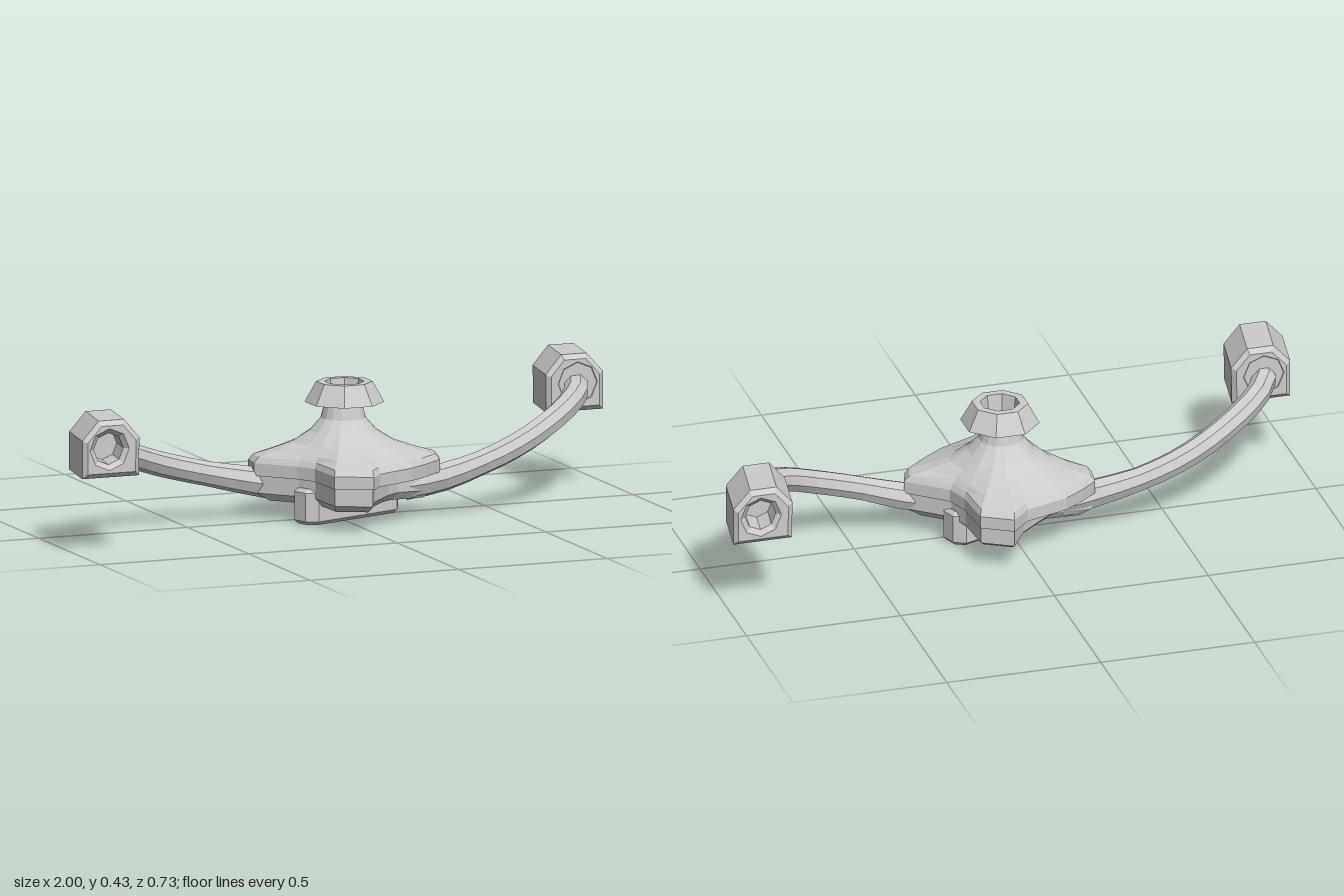
import * as THREE from 'three';

const CX = 0.02, CZ = 0.01; // spindle axis

// Hub outline seen from above, as x, z
const OUTLINE = [
  [0.07, -0.305], [0.165, -0.25], [0.175, -0.11], [0.2, -0.04], [0.32, 0.06], [0.3, 0.12],
  [0.23, 0.18], [0.16, 0.23], [0.03, 0.29], [-0.01, 0.335], [-0.12, 0.28], [-0.125, 0.13],
  [-0.16, 0.07], [-0.26, -0.04], [-0.25, -0.11], [-0.19, -0.16], [-0.13, -0.2], [0.01, -0.245],
];
// Lower outline: the two long sides are cut back under the top plate
const LOWER = OUTLINE.map(([x, z], i) => {
  const k = [6, 7, 15, 16].includes(i) ? 0.66 : [8, 17].includes(i) ? 0.85 : 0.97;
  return [CX + (x - CX) * k, CZ + (z - CZ) * k];
});

function createModel() {
  const model = new THREE.Group();
  const material = new THREE.MeshStandardMaterial({ color: 0xcccccc, flatShading: true });

  const add = (name, geometry, parent = model) => {
    const mesh = new THREE.Mesh(geometry, material);
    mesh.name = name;
    parent.add(mesh);
    return mesh;
  };

  // Loft of rings [y, scale, blend to circle, circle radius] over an outline
  const loft = (outline, rings) => {
    const n = outline.length, pos = [], index = [];
    for (const [y, s, t = 0, r = 0] of rings) {
      for (const [x, z] of outline) {
        const dx = x - CX, dz = z - CZ, len = Math.hypot(dx, dz);
        const k = s * (1 - t) + (r / len) * t;
        pos.push(CX + dx * k, y, CZ + dz * k);
      }
    }
    for (let i = 0; i < rings.length - 1; i++) {
      for (let j = 0; j < n; j++) {
        const a = i * n + j, b = i * n + (j + 1) % n;
        index.push(a, a + n, b, b, a + n, b + n);
      }
    }
    const g = new THREE.BufferGeometry();
    g.setAttribute('position', new THREE.Float32BufferAttribute(pos, 3));
    g.setIndex(index);
    g.computeVertexNormals();
    return g;
  };

  // Hub: top plate flowing up into the neck, and the undercut lower body
  add('hubTop', loft(OUTLINE, [
    [0.14, 0], [0.14, 1], [0.18, 1], [0.198, 0.95], [0.215, 0.8, 0.3, 0.2],
    [0.24, 0.6, 0.7, 0.15], [0.275, 0.5, 1, 0.105], [0.315, 0.4, 1, 0.07], [0.375, 0.3, 1, 0.055],
  ]));
  add('hubBottom', loft(LOWER, [[0.055, 0], [0.06, 0.85], [0.085, 1], [0.145, 1], [0.145, 0]]));

  // Flared cap with a blind bore
  const cap = new THREE.LatheGeometry([
    [0.04, 0.365], [0.124, 0.365], [0.088, 0.43], [0.062, 0.43], [0.054, 0.37], [0, 0.37],
  ].map(([r, y]) => new THREE.Vector2(r, y)), 8);
  cap.rotateY(Math.PI / 8).translate(CX, 0, CZ + 0.01);
  add('cap', cap);

  // Base bar with cut corners under the hub
  const L = 0.195, W = 0.055, c = 0.03;
  const barShape = new THREE.Shape([
    [-L + c, -W], [L - c, -W], [L, -W + c], [L, W - c],
    [L - c, W], [-L + c, W], [-L, W - c], [-L, -W + c],
  ].map(([x, y]) => new THREE.Vector2(x, y)));
  const bar = new THREE.ExtrudeGeometry(barShape, {
    depth: 0.09, bevelThickness: 0.012, bevelSize: 0.012, bevelOffset: -0.012, bevelSegments: 1,
  });
  bar.rotateX(-Math.PI / 2).rotateY(0.35).translate(0.025, 0.012, 0.022);
  add('baseBar', bar);

  // Curved arms, slightly thicker at the hub
  const arm = (name, points) => {
    const curve = new THREE.CatmullRomCurve3(points.map((p) => new THREE.Vector3(...p)));
    const steps = 14, sides = 8;
    const g = new THREE.TubeGeometry(curve, steps, 0.039, sides);
    const p = g.attributes.position, v = new THREE.Vector3();
    for (let i = 0; i <= steps; i++) {
      const centre = curve.getPointAt(i / steps);
      const k = 1 + 0.3 * Math.max(0, 1 - i / 4);
      for (let j = 0; j <= sides; j++) {
        const id = i * (sides + 1) + j;
        v.fromBufferAttribute(p, id).sub(centre).multiplyScalar(k).add(centre);
        p.setXYZ(id, v.x, v.y, v.z);
      }
    }
    add(name, g);
  };
  arm('leftArm', [
    [0.2, 0.1, 0.07], [0.31, 0.115, 0.09], [0.46, 0.16, 0.1], [0.6, 0.21, 0.075],
    [0.74, 0.27, 0.01], [0.84, 0.31, -0.09], [0.88, 0.325, -0.18], [0.89, 0.33, -0.23],
  ]);
  arm('rightArm', [
    [-0.15, 0.1, -0.06], [-0.26, 0.12, -0.07], [-0.42, 0.155, -0.075], [-0.58, 0.2, -0.045],
    [-0.74, 0.26, 0.025], [-0.84, 0.3, 0.1], [-0.88, 0.32, 0.16], [-0.89, 0.33, 0.22],
  ]);

  // Skewed nozzle blocks with an outlet bore
  const z0 = 0.16, z1 = 0.365;
  const skew = (g) => {
    const p = g.attributes.position;
    for (let i = 0; i < p.count; i++) p.setX(i, p.getX(i) + (z1 - p.getZ(i)) * 0.16);
    g.computeVertexNormals();
    return g;
  };
  const nozzle = (name, angle) => {
    const group = new THREE.Group();
    group.name = name;
    const shape = new THREE.Shape([
      [-1, 0.245], [-0.81, 0.245], [-0.808, 0.365], [-0.86, 0.425], [-0.945, 0.425], [-1, 0.365],
    ].map(([x, y]) => new THREE.Vector2(x, y)));
    const hole = new THREE.Path();
    hole.absarc(-0.912, 0.335, 0.05, 0, Math.PI * 2, true);
    shape.holes.push(hole);
    const bevel = 0.015;
    const block = new THREE.ExtrudeGeometry(shape, {
      depth: z1 - z0 - 2 * bevel, curveSegments: 4, bevelThickness: bevel,
      bevelSize: bevel, bevelOffset: -bevel, bevelSegments: 1,
    });
    add('nozzleBlock', skew(block.translate(0, 0, z0 + bevel)), group);
    const plug = new THREE.CylinderGeometry(0.068, 0.068, 0.1, 8);
    plug.rotateX(Math.PI / 2).translate(-0.912, 0.335, z0 + 0.052);
    add('nozzlePlug', skew(plug), group);
    group.rotation.y = angle;
    model.add(group);
  };
  nozzle('rightNozzle', 0);
  nozzle('leftNozzle', Math.PI);

  return model;
}

export { createModel };
